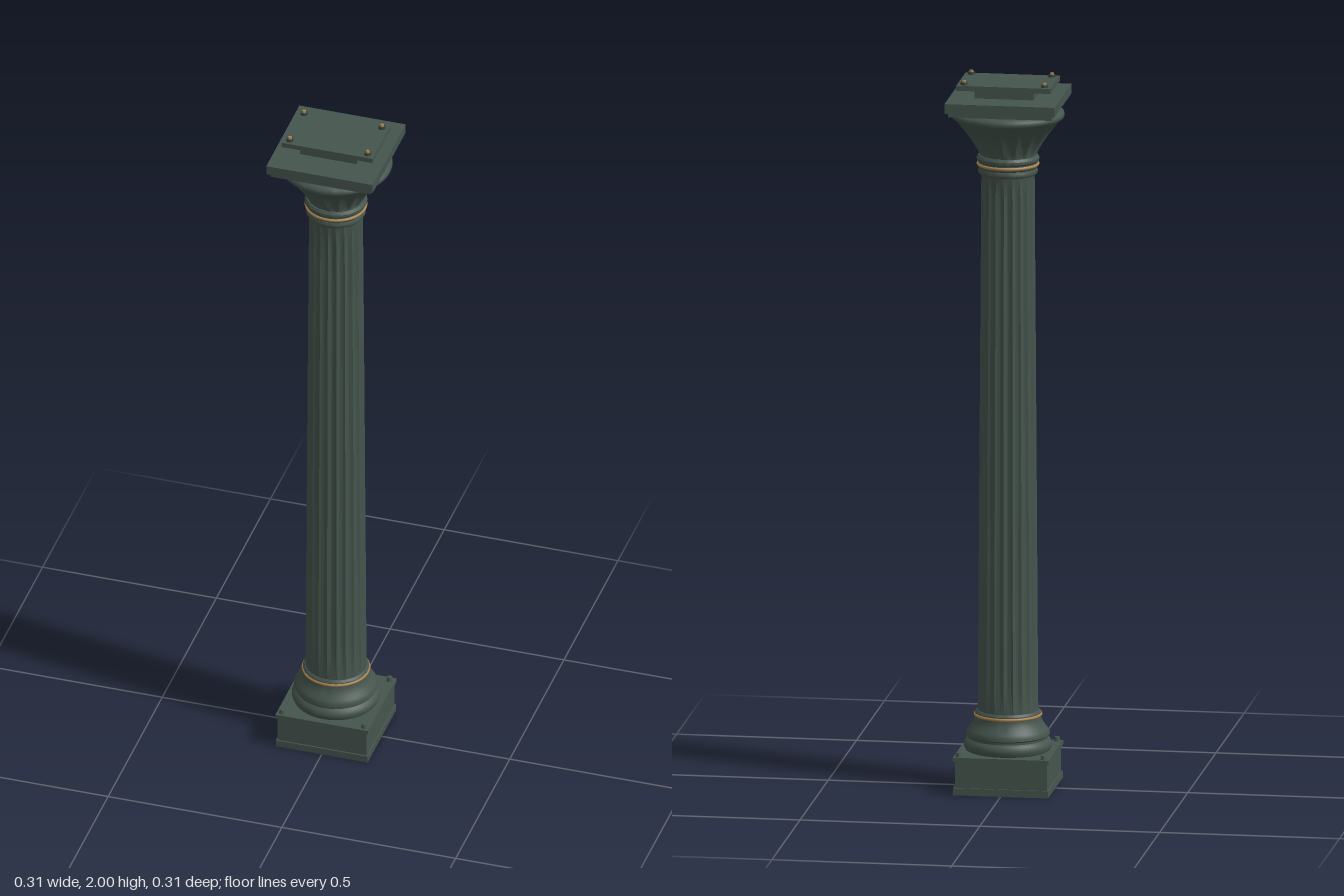
import * as THREE from 'three';
import { mergeVertices, toCreasedNormals } from 'three/addons/utils/BufferGeometryUtils.js';

const iron = new THREE.MeshStandardMaterial({ color: 0x46554e });
iron.name = 'green iron';
const brass = new THREE.MeshStandardMaterial({ color: 0xa8824c });
brass.name = 'brass';
const dark = new THREE.MeshStandardMaterial({ color: 0x36413c });
dark.name = 'dark iron';

const vecs = (profile) => profile.map(([r, y]) => new THREE.Vector2(r, y));

function add(parent, name, geometry, material, x = 0, y = 0, z = 0) {
  const mesh = new THREE.Mesh(geometry, material);
  mesh.name = name;
  mesh.position.set(x, y, z);
  parent.add(mesh);
  return mesh;
}

// turned moulding with crisp edges where the profile bends sharply
function turned(profile) {
  return toCreasedNormals(new THREE.LatheGeometry(vecs(profile), 64), 0.6);
}

// turned body whose radius is scooped into vertical flutes; depth depends on height
function fluted(profile, count, depthAt) {
  let geo = new THREE.LatheGeometry(vecs(profile), count * 8);
  const p = geo.attributes.position;
  for (let i = 0; i < p.count; i++) {
    const x = p.getX(i), z = p.getZ(i), r = Math.hypot(x, z);
    if (r < 1e-5) continue;
    const scoop = Math.abs(Math.sin((Math.atan2(x, z) * count) / 2));
    const k = (r - depthAt(p.getY(i)) * scoop) / r;
    p.setX(i, x * k);
    p.setZ(i, z * k);
  }
  geo.deleteAttribute('uv');
  geo.deleteAttribute('normal');
  geo = mergeVertices(geo, 1e-5);
  return toCreasedNormals(geo, 0.6);
}

// square slab given by its half width and bottom and top heights
function slab(parent, name, hx, hz, y0, y1) {
  add(parent, name, new THREE.BoxGeometry(hx * 2, y1 - y0, hz * 2), iron, 0, (y0 + y1) / 2, 0);
}

export function createModel() {
  const column = new THREE.Group();
  column.name = 'column';

  // square plinth
  slab(column, 'plinthFoot', 0.132, 0.132, 0, 0.02);
  slab(column, 'plinthBlock', 0.128, 0.128, 0.02, 0.094);
  slab(column, 'plinthCap', 0.133, 0.133, 0.094, 0.106);

  // round base moulding: torus, fillet, sweeping hollow, neck
  add(column, 'baseMoulding', turned([
    [0.11, 0.104], [0.117, 0.108], [0.121, 0.117], [0.121, 0.125], [0.117, 0.134],
    [0.11, 0.14], [0.11, 0.146], [0.115, 0.15], [0.115, 0.156], [0.109, 0.166],
    [0.101, 0.176], [0.095, 0.187], [0.091, 0.198], [0.091, 0.213], [0.086, 0.219], [0.07, 0.22],
  ]), iron);

  // fluted tapering shaft
  const shaft = [];
  for (let i = 0; i <= 24; i++) {
    const t = i / 24;
    shaft.push([0.084 - 0.009 * t - 0.001 * t * t, 0.215 + 1.52 * t]);
  }
  const fade = (y) => Math.min(1, Math.max(0, (y - 0.215) / 0.06), Math.max(0, (1.735 - y) / 0.06));
  add(column, 'flutedShaft', fluted(shaft, 20, (y) => 0.006 * fade(y)), iron);

  // necking below the capital
  add(column, 'necking', turned([
    [0.068, 1.725], [0.078, 1.727], [0.082, 1.733], [0.082, 1.74], [0.079, 1.746],
    [0.082, 1.75], [0.082, 1.763], [0.086, 1.768], [0.086, 1.775], [0.081, 1.782], [0.068, 1.783],
  ]), iron);

  // brass bands
  for (const [name, r, y] of [['lowerBand', 0.09, 0.206], ['upperBand', 0.082, 1.756]]) {
    const band = add(column, name, new THREE.TorusGeometry(r, 0.0045, 10, 64), brass, 0, y, 0);
    band.rotation.x = Math.PI / 2;
  }

  // flaring fluted bell
  const bell = [];
  for (let i = 0; i <= 14; i++) {
    const t = i / 14;
    bell.push([0.077 + 0.071 * Math.pow(t, 1.25), 1.778 + 0.107 * t]);
  }
  add(column, 'capitalBell', fluted(bell, 16, (y) => 0.011 * Math.sin(Math.PI * Math.min(1, (y - 1.778) / 0.107))), iron);
  add(column, 'capitalRim', turned([
    [0.13, 1.878], [0.147, 1.882], [0.154, 1.888], [0.156, 1.895], [0.154, 1.902],
    [0.147, 1.908], [0.138, 1.91], [0.138, 1.918], [0, 1.918],
  ]), iron);

  // stepped square abacus
  slab(column, 'abacusLower', 0.144, 0.144, 1.912, 1.926);
  slab(column, 'abacusUpper', 0.153, 0.153, 1.924, 1.951);

  // bearing block and plate
  slab(column, 'bearingBlock', 0.082, 0.07, 1.951, 1.976);
  slab(column, 'bearingPlate', 0.131, 0.084, 1.974, 1.988);

  // corner bolts on the plate and on the plinth
  for (const sx of [-1, 1]) for (const sz of [-1, 1]) {
    const bolt = new THREE.Group();
    bolt.name = 'plateBolt';
    bolt.position.set(sx * 0.112, 1.988, sz * 0.066);
    add(bolt, 'boltWasher', new THREE.CylinderGeometry(0.009, 0.01, 0.007, 20), dark, 0, 0.0035, 0);
    add(bolt, 'boltHead', new THREE.CylinderGeometry(0.005, 0.006, 0.007, 16), brass, 0, 0.0085, 0);
    column.add(bolt);
    add(column, 'plinthBolt', new THREE.CylinderGeometry(0.007, 0.009, 0.012, 16), iron,
      sx * 0.118, 0.112, sz * 0.118);
  }
  return column;
}
